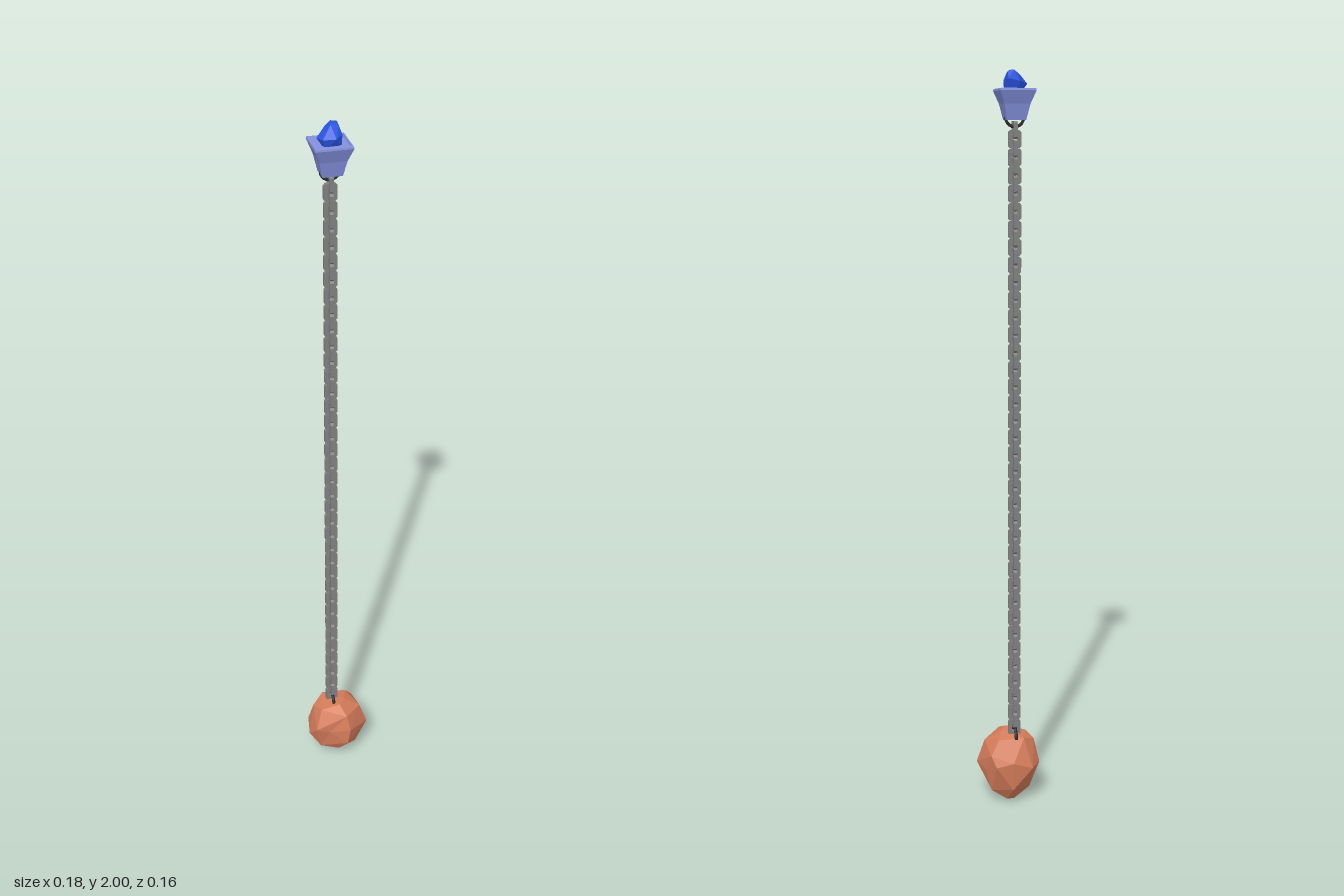
import * as THREE from 'three';
import { ConvexGeometry } from 'three/addons/geometries/ConvexGeometry.js';

const AXIS_X = -0.014, AXIS_Z = -0.018;

function mat(color) {
  return new THREE.MeshStandardMaterial({ color, flatShading: true });
}

function add(parent, name, geometry, material) {
  const mesh = new THREE.Mesh(geometry, material);
  mesh.name = name;
  parent.add(mesh);
  return mesh;
}

function hull(points) {
  return new ConvexGeometry(points.map((p) => new THREE.Vector3(...p)));
}

// Outline of a rectangle with cut corners, w and h being half sizes
function cutRect(w, h, c) {
  return [
    [w, c - h], [w, h - c], [w - c, h], [c - w, h],
    [-w, h - c], [-w, c - h], [c - w, -h], [w - c, -h]
  ].map(([x, y]) => new THREE.Vector2(x, y));
}

export function createModel() {
  const model = new THREE.Group();
  model.name = 'hangingChain';
  const stone = mat(0xd47c5a), cupBlue = mat(0x8490dc), gemBlue = mat(0x2752dc);
  const iron = mat(0x808080), darkIron = mat(0x2a2a2a);

  // Irregular faceted rock at the bottom
  const rock = hull([
    [-0.01, 0.005, -0.035], [0.012, 0.01, -0.045], [-0.055, 0.035, -0.03], [0.055, 0.04, -0.045],
    [-0.06, 0.05, 0.03], [0.045, 0.05, 0.035], [-0.008, 0.04, 0.045], [0, 0.05, -0.078],
    [-0.09, 0.09, 0.01], [0.087, 0.105, 0.015], [-0.083, 0.11, -0.035], [0.07, 0.1, -0.035],
    [-0.055, 0.11, -0.077], [0, 0.13, -0.083], [0.048, 0.12, -0.08], [0.06, 0.15, -0.065],
    [0.02, 0.14, 0.08], [0.012, 0.085, 0.076], [-0.037, 0.12, 0.068], [-0.075, 0.13, 0.045],
    [0.012, 0.182, 0.064], [-0.07, 0.175, -0.02], [-0.055, 0.185, 0.02], [0.065, 0.17, 0.01],
    [0.035, 0.188, -0.045], [0, 0.2, 0.025], [-0.035, 0.19, -0.05], [0.02, 0.197, 0]
  ]);
  // Press a shallow dent into the front right of the rock
  const pos = rock.attributes.position, dent = new THREE.Vector3(-0.037, 0.12, 0.068);
  for (let i = 0, v = new THREE.Vector3(); i < pos.count; i++) {
    if (v.fromBufferAttribute(pos, i).distanceTo(dent) < 0.005) pos.setZ(i, 0.053);
  }
  add(model, 'rock', rock, stone);

  // Staple holding the chain to the rock
  const staple = add(model, 'rockStaple', new THREE.TorusGeometry(0.03, 0.005, 6, 10, Math.PI), darkIron);
  staple.rotation.y = Math.PI / 2;
  staple.position.set(AXIS_X, 0.187, AXIS_Z);

  // Chain of tight, straight-sided links, alternately turned a quarter
  const chain = new THREE.Group();
  chain.name = 'chain';
  chain.position.set(AXIS_X, 0, AXIS_Z);
  model.add(chain);
  const wire = 0.01;
  const linkShape = new THREE.Shape(cutRect(0.017, 0.0225, 0.005));
  linkShape.holes.push(new THREE.Path(cutRect(0.017 - wire, 0.0225 - wire, 0.002).reverse()));
  const linkGeometry = new THREE.ExtrudeGeometry(linkShape, { depth: wire, bevelEnabled: false });
  linkGeometry.translate(0, 0, -wire / 2);
  const count = 72, low = 0.213, high = 1.85;
  for (let i = 0; i < count; i++) {
    const link = add(chain, 'chainLink', linkGeometry, iron);
    link.position.y = low + (high - low) * i / (count - 1);
    link.rotation.y = i % 2 ? Math.PI / 2 : 0;
  }

  // Half ring under the cup
  const ring = add(model, 'cupStaple', new THREE.TorusGeometry(0.024, 0.004, 6, 10, Math.PI), darkIron);
  ring.rotation.z = Math.PI;
  ring.position.set(AXIS_X, 1.882, AXIS_Z);

  // Square cup, flaring towards a low rim
  const profile = [
    [0, 1.875], [0.025, 1.875], [0.034, 1.915], [0.047, 1.948],
    [0.046, 1.953], [0.042, 1.954], [0.04, 1.949], [0, 1.949]
  ].map(([half, y]) => new THREE.Vector2(half * Math.SQRT2, y));
  const cup = add(model, 'cup', new THREE.LatheGeometry(profile, 4, Math.PI / 4), cupBlue);
  cup.position.set(AXIS_X, 0, AXIS_Z);

  // Faceted crystal seated in the cup
  add(model, 'crystal', hull([
    [-0.022, 1.94, -0.037], [0.008, 1.94, -0.035], [0.01, 1.94, -0.002], [-0.03, 1.94, 0],
    [-0.047, 1.965, -0.018], [-0.022, 1.972, -0.044], [0.015, 1.97, -0.02], [-0.006, 1.968, 0.012],
    [-0.037, 1.966, 0.004], [0.012, 1.974, -0.002], [0.008, 1.978, -0.045],
    [-0.026, 1.988, -0.026], [-0.014, 1.996, -0.012], [0.006, 1.992, -0.012],
    [0.006, 1.997, -0.03], [-0.01, 2, -0.03], [-0.004, 2, -0.018]
  ]), gemBlue);

  return model;
}
